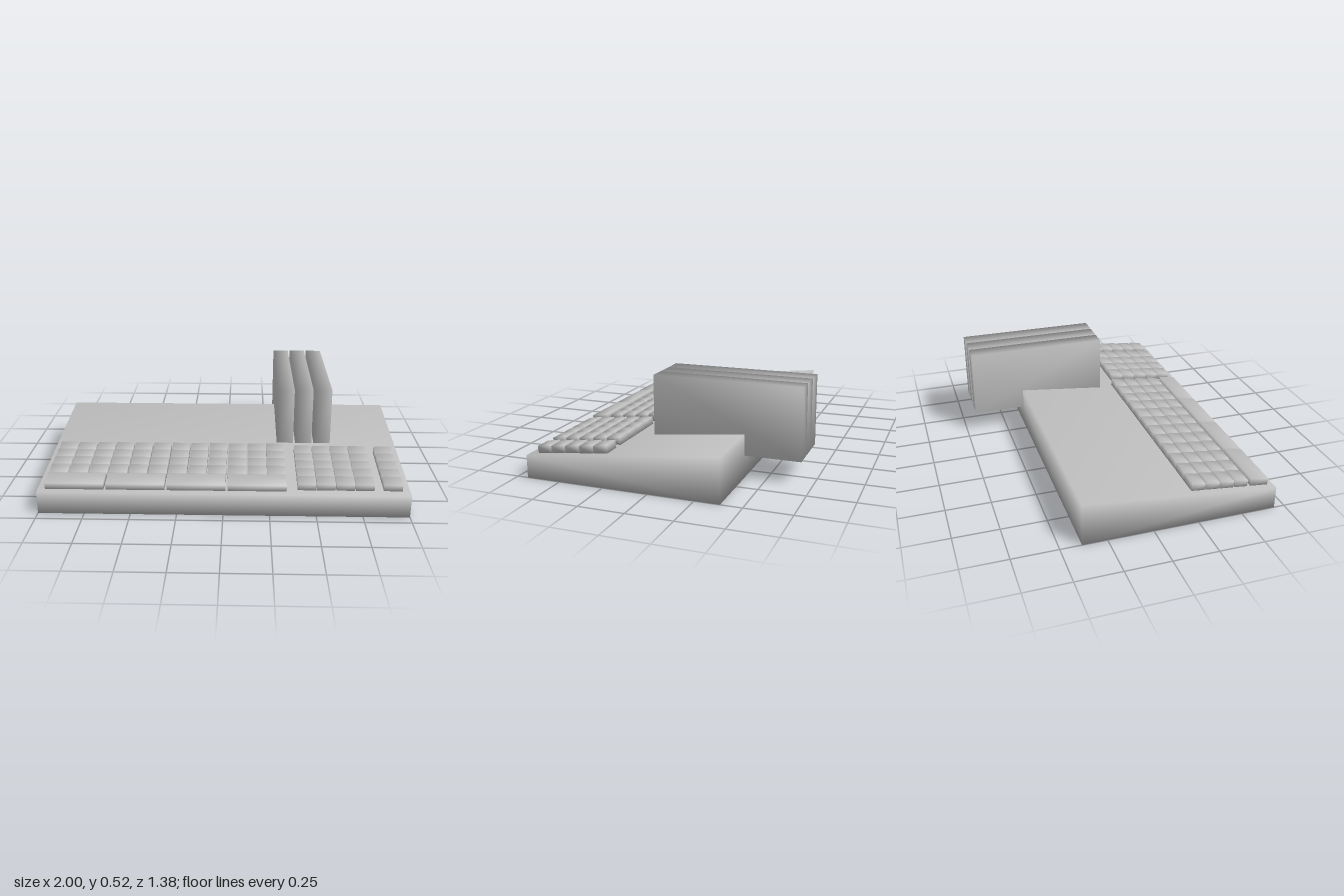
import * as THREE from 'three';

const SLOPE = 0.107;
const deckY = (z) => 0.125 + (0.69 - z) * SLOPE;

// Six-sided block with shared smooth corners.
// profile: [z, y] for front-bottom, front-top, back-top, back-bottom
function block(name, x0, x1, profile, material) {
  const points = [];
  for (const x of [x0, x1]) for (const [z, y] of profile) points.push(x, y, z);
  const geometry = new THREE.BufferGeometry();
  geometry.setAttribute('position', new THREE.Float32BufferAttribute(points, 3));
  geometry.setIndex([
    4, 7, 5, 7, 6, 5, // +x side
    0, 1, 3, 1, 2, 3, // -x side
    0, 4, 5, 0, 5, 1, // front
    1, 5, 6, 1, 6, 2, // top
    3, 2, 6, 3, 6, 7, // back
    0, 3, 7, 0, 7, 4, // bottom
  ]);
  geometry.computeVertexNormals();
  const mesh = new THREE.Mesh(geometry, material);
  mesh.name = name;
  return mesh;
}

// Grid of keys standing square to the sloping deck
function keyBlock(name, x0, x1, cols, z0, z1, rows, gap, material) {
  const group = new THREE.Group();
  group.name = name;
  const px = (x1 - x0 + gap) / cols;
  const pz = (z1 - z0 + gap) / rows;
  const height = 0.04, lean = 0.005, sink = 0.002;
  for (let r = 0; r < rows; r++) {
    const back = z0 + r * pz, front = back + pz - gap;
    const yb = deckY(back), yf = deckY(front);
    const profile = [
      [front - lean, yf - sink], [front, yf + height - 0.003],
      [back, yb + height + 0.003], [back - lean, yb - sink],
    ];
    for (let c = 0; c < cols; c++) {
      const x = x0 + c * px;
      group.add(block('key', x, x + px - gap, profile, material));
    }
  }
  return group;
}

export function createModel() {
  const model = new THREE.Group();
  model.name = 'keyboardComputer';
  const grey = new THREE.MeshStandardMaterial({ color: 0xc0c0c0 });
  grey.name = 'grey plastic';

  // Wedge-shaped case
  model.add(block('case', -1, 1,
    [[0.69, 0], [0.69, 0.125], [-0.385, 0.24], [-0.385, 0]], grey));

  // Keys
  model.add(keyBlock('mainKeys', -0.96, 0.34, 12, 0.22, 0.54, 4, 0.008, grey));
  model.add(keyBlock('wideKeys', -0.96, 0.34, 4, 0.56, 0.66, 1, 0.012, grey));
  model.add(keyBlock('numberPad', 0.4, 0.81, 4, 0.24, 0.645, 5, 0.005, grey));
  model.add(keyBlock('functionKeys', 0.86, 0.96, 1, 0.24, 0.645, 5, 0.005, grey));

  // Three upright expansion boards overhanging the back
  for (let i = 0; i < 3; i++) {
    const x = 0.305 + i * 0.109;
    model.add(block('expansionBoard', x, x + 0.097,
      [[0.127, 0.125], [0.127, 0.517], [-0.69, 0.517], [-0.69, 0.125]], grey));
  }
  return model;
}
